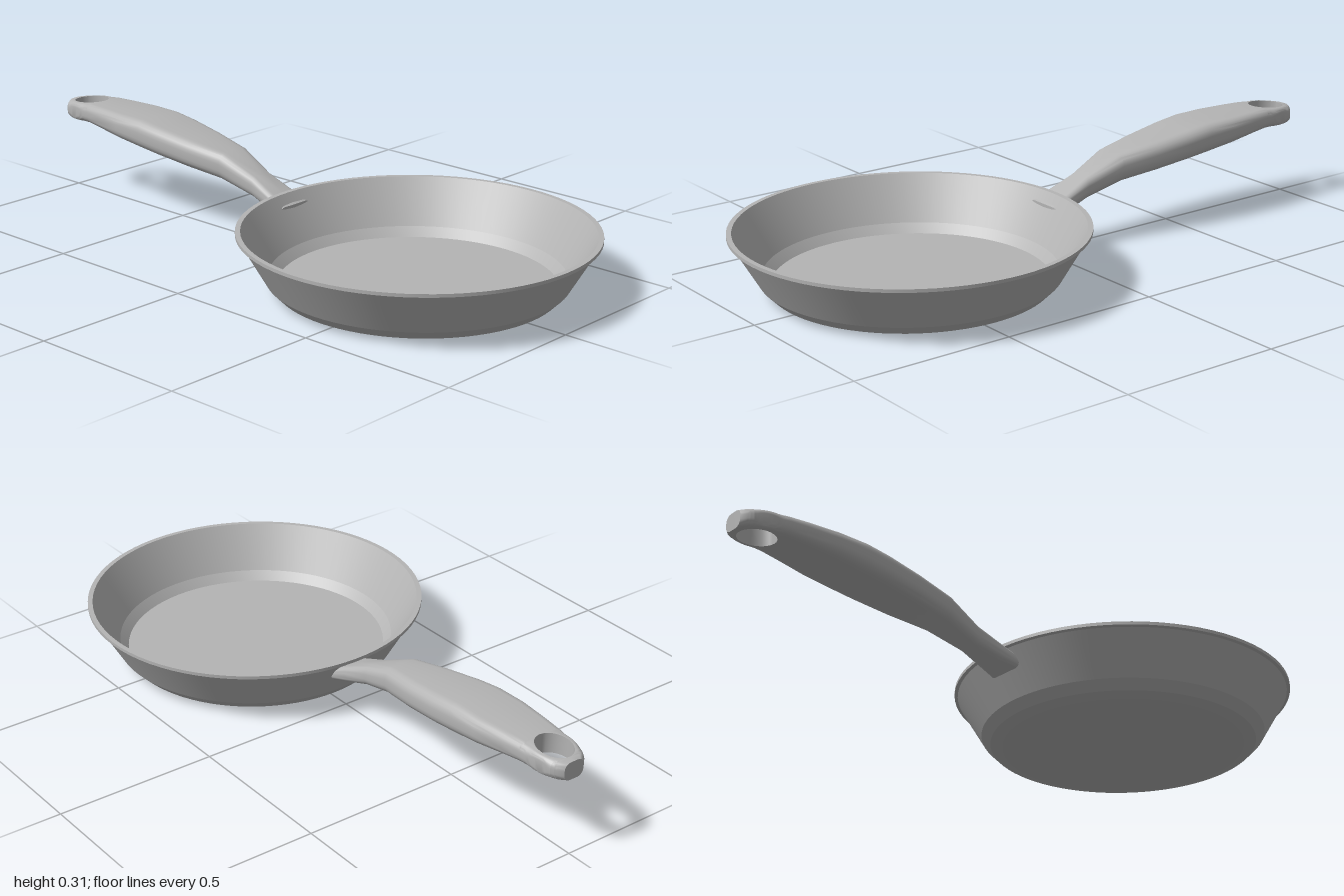
import * as THREE from 'three';
import { toCreasedNormals } from 'three/addons/utils/BufferGeometryUtils.js';

// Handle stations: [z, half width, underside y, top y]
const STATIONS = [
  [-0.01, 0.062, 0.108, 0.148],
  [-0.06, 0.055, 0.12, 0.172],
  [-0.15, 0.046, 0.146, 0.212],
  [-0.27, 0.066, 0.18, 0.264],
  [-0.4, 0.086, 0.196, 0.283],
  [-0.52, 0.097, 0.211, 0.3],
  [-0.6, 0.099, 0.22, 0.31],
  [-0.7, 0.097, 0.232, 0.311],
  [-0.8, 0.085, 0.243, 0.311],
  [-0.86, 0.077, 0.248, 0.31],
  [-0.92, 0.069, 0.246, 0.305],
  [-0.97, 0.059, 0.243, 0.3],
  [-0.985, 0.05, 0.242, 0.298],
  [-1.0, 0.034, 0.241, 0.296],
];
const HOLE = { z: -0.92, rx: 0.05, rz: 0.06 };

// Linear interpolation between handle stations
function stationAt(z) {
  let i = 0;
  while (i < STATIONS.length - 2 && STATIONS[i + 1][0] > z) i++;
  const a = STATIONS[i], b = STATIONS[i + 1];
  const t = (z - a[0]) / (b[0] - a[0]);
  return a.map((v, k) => THREE.MathUtils.lerp(v, b[k], t));
}

// Right half of a rounded cross-section, starting at the edge of the hanging hole
function halfSection(z) {
  const [, w, bottom, top] = stationAt(z);
  const d = (z - HOLE.z) / HOLE.rz;
  const hole = Math.abs(d) < 0.9999 ? HOLE.rx * Math.sqrt(1 - d * d) : 0;
  const r = Math.min((top - bottom) * 0.38, (w - hole) * 0.8);
  const loop = [[hole, top, z]];
  for (const [cy, start] of [[top - r, Math.PI / 2], [bottom + r, 0]]) {
    for (let k = 0; k <= 5; k++) {
      const a = start - (k / 5) * Math.PI / 2;
      loop.push([w - r + r * Math.cos(a), cy + r * Math.sin(a), z]);
    }
  }
  loop.push([hole, bottom, z]);
  return { hole, loop };
}

function handleGeometry() {
  const zs = new Set(STATIONS.map((s) => s[0]));
  for (let k = 0; k <= 16; k++) {
    zs.add(+(HOLE.z + HOLE.rz * Math.cos((k / 16) * Math.PI)).toFixed(5));
  }
  const sections = [...zs].sort((a, b) => b - a).map(halfSection);
  const positions = [];
  // Each triangle is mirrored to the other half
  const tri = (a, b, c) => {
    positions.push(...a, ...b, ...c);
    for (const p of [a, c, b]) positions.push(-p[0], p[1], p[2]);
  };
  for (let i = 0; i < sections.length - 1; i++) {
    const s = sections[i], e = sections[i + 1], n = s.loop.length;
    for (let j = 0; j < n; j++) {
      // The closing strip is the wall of the hole
      if (j === n - 1 && s.hole === 0 && e.hole === 0) continue;
      const k = (j + 1) % n;
      tri(s.loop[j], s.loop[k], e.loop[k]);
      tri(s.loop[j], e.loop[k], e.loop[j]);
    }
  }
  // End caps
  const first = sections[0].loop, last = sections[sections.length - 1].loop;
  for (let k = 1; k < first.length - 1; k++) {
    tri(first[0], first[k + 1], first[k]);
    tri(last[0], last[k], last[k + 1]);
  }
  const g = new THREE.BufferGeometry();
  g.setAttribute('position', new THREE.Float32BufferAttribute(positions, 3));
  return toCreasedNormals(g, 0.6);
}

function panGeometry() {
  // Underside, outer wall, rim, inner wall, cooking floor
  const profile = [
    [0, 0], [0.375, 0], [0.412, 0.01], [0.44, 0.038], [0.515, 0.167],
    [0.525, 0.17], [0.525, 0.18], [0.51, 0.18],
    [0.43, 0.045], [0.405, 0.018], [0, 0.018],
  ].map(([x, y]) => new THREE.Vector2(x, y));
  return toCreasedNormals(new THREE.LatheGeometry(profile, 80), 0.2);
}

export function createModel() {
  const group = new THREE.Group();
  group.name = 'fryingPan';
  const metal = new THREE.MeshStandardMaterial({ color: 0xb4b4b4 });
  metal.name = 'greyMetal';

  const pan = new THREE.Mesh(panGeometry(), metal);
  pan.name = 'panBody';
  pan.position.z = 0.475;

  const handle = new THREE.Mesh(handleGeometry(), metal);
  handle.name = 'handle';

  group.add(pan, handle);
  return group;
}
